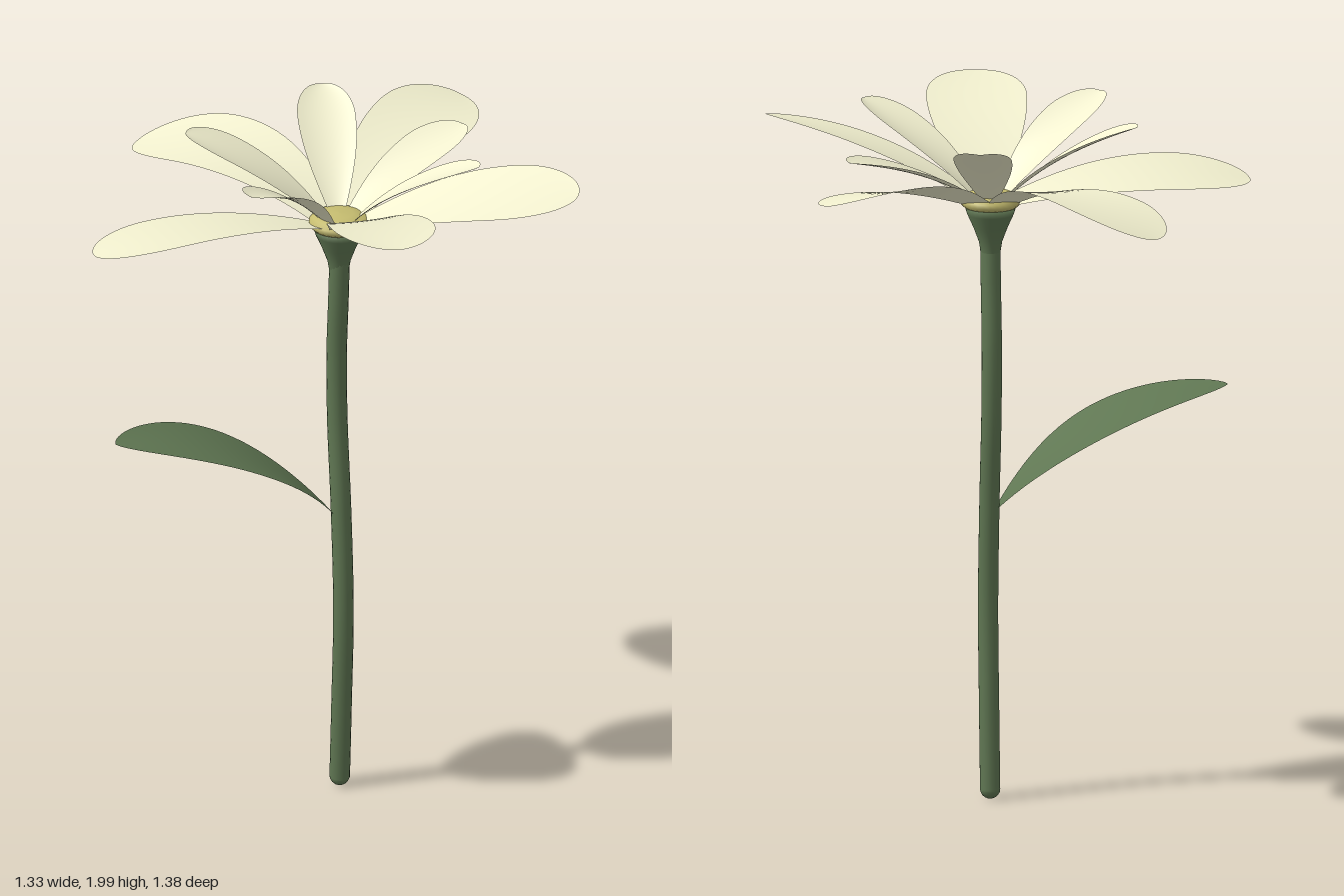
import * as THREE from 'three';

const V = (x, y, z) => new THREE.Vector3(x, y, z);
const mat = (color, side = THREE.FrontSide) => new THREE.MeshStandardMaterial({ color, side, roughness: 0.8 });
const CENTRE_X = 0.085;

// Curved blade along base -> mid -> tip. roll raises one long edge, cup lifts both.
function blade({ base, mid, tip, width, profile, roll = 0, cup = 0 }) {
  const control = mid.clone().multiplyScalar(2).addScaledVector(base, -0.5).addScaledVector(tip, -0.5);
  const curve = new THREE.QuadraticBezierCurve3(base, control, tip);
  const geo = new THREE.PlaneGeometry(1, 1, 10, 32);
  const pos = geo.attributes.position, uv = geo.attributes.uv;
  for (let i = 0; i < pos.count; i++) {
    const t = Math.sin(uv.getY(i) * Math.PI / 2); // rows crowd towards the round tip
    const v = uv.getX(i) * 2 - 1;
    const d = curve.getTangent(t).setY(0).normalize();
    const half = width / 2 * profile(t);
    const p = curve.getPoint(t).addScaledVector(V(-d.z, roll, d.x), v * half);
    pos.setXYZ(i, p.x, p.y + cup * v * v * profile(t), p.z);
  }
  geo.computeVertexNormals();
  return geo;
}

// Half-width from a narrow base to the widest point, then a rounded end
const outline = (base, widest, power) => t => t < widest
  ? base + (1 - base) * Math.sin(t / widest * Math.PI / 2)
  : Math.pow(Math.max(0, 1 - ((t - widest) / (1 - widest)) ** 2), power);
const petalProfile = outline(0.28, 0.7, 0.5);
const leafProfile = outline(0.06, 0.55, 0.65);

// mid and tip of each petal, width, roll
const outerPetals = [
  [[-0.31, 1.79, 0.0], [-0.665, 1.765, 0.01], 0.285, -0.14],
  [[-0.065, 1.835, -0.36], [-0.24, 1.77, -0.68], 0.3, 0.12],
  [[0.38, 1.84, -0.245], [0.645, 1.855, -0.435], 0.27, -0.22],
  [[0.36, 1.855, 0.225], [0.625, 1.91, 0.455], 0.265, -0.22],
  [[0.045, 1.885, 0.34], [-0.02, 1.95, 0.68], 0.285, 0],
];
const innerPetals = [
  [[0.15, 1.87, -0.22], [0.205, 1.975, -0.41], 0.165, 0],
  [[-0.1, 1.88, -0.115], [-0.29, 1.985, -0.225], 0.17, 0],
  [[-0.1, 1.88, 0.11], [-0.285, 1.98, 0.25], 0.165, 0],
  [[0.31, 1.84, -0.065], [0.525, 1.905, -0.145], 0.17, 0],
  [[0.23, 1.87, 0.14], [0.385, 1.98, 0.305], 0.155, 0],
];

export function createModel() {
  const group = new THREE.Group();
  const green = mat(0x5f7652);
  const petalMat = mat(0xf2f0cf, THREE.DoubleSide);
  const add = (name, geo, material, parent = group) => {
    const mesh = new THREE.Mesh(geo, material);
    mesh.name = name;
    parent.add(mesh);
    return mesh;
  };

  // Stem with a gentle S-bend and rounded foot
  const stemCurve = new THREE.CatmullRomCurve3([
    [0.025, 0.005], [0.25, 0.018], [0.55, 0.032], [0.85, 0.015],
    [1.12, -0.012], [1.32, -0.017], [1.5, -0.004], [1.64, 0.005],
  ].map(([y, z]) => V(CENTRE_X, y, z)));
  add('stem', new THREE.TubeGeometry(stemCurve, 60, 0.029, 16), green);
  add('stemFoot', new THREE.SphereGeometry(0.029, 16, 10), green)
    .position.set(CENTRE_X, 0.029, 0.005);

  // Flared cup under the flower
  const cup = [[0.028, 1.59], [0.033, 1.62], [0.048, 1.66], [0.066, 1.7], [0.074, 1.725], [0, 1.735]];
  add('flowerCup', new THREE.LatheGeometry(cup.map(p => new THREE.Vector2(...p)), 28), green)
    .position.x = CENTRE_X;

  // Low domed flower centre
  const disc = [[0, 1.72], [0.075, 1.722], [0.085, 1.732], [0.085, 1.744], [0.074, 1.757], [0.04, 1.765], [0, 1.767]];
  add('flowerCentre', new THREE.LatheGeometry(disc.map(p => new THREE.Vector2(...p)), 28), mat(0xc6bd70))
    .position.x = CENTRE_X;

  // Two rings of petals
  const petalRing = (name, list, baseY, cupAmount) => {
    const ring = new THREE.Group();
    ring.name = name + 's';
    group.add(ring);
    list.forEach(([m, t, width, roll]) => {
      const mid = V(...m), tip = V(...t);
      const out = V(mid.x - CENTRE_X, 0, mid.z).normalize().multiplyScalar(0.045);
      const base = V(CENTRE_X + out.x, baseY, out.z);
      add(name, blade({ base, mid, tip, width, roll, cup: cupAmount, profile: petalProfile }), petalMat, ring);
    });
  };
  petalRing('outerPetal', outerPetals, 1.732, 0.006);
  petalRing('innerPetal', innerPetals, 1.745, 0.015);

  // Single arching leaf
  add('leaf', blade({
    base: V(0.07, 0.835, 0.012), mid: V(-0.22, 1.065, 0.003), tip: V(-0.6, 1.17, 0.003),
    width: 0.335, cup: 0.012, profile: leafProfile,
  }), mat(0x5f7652, THREE.DoubleSide));

  return group;
}
